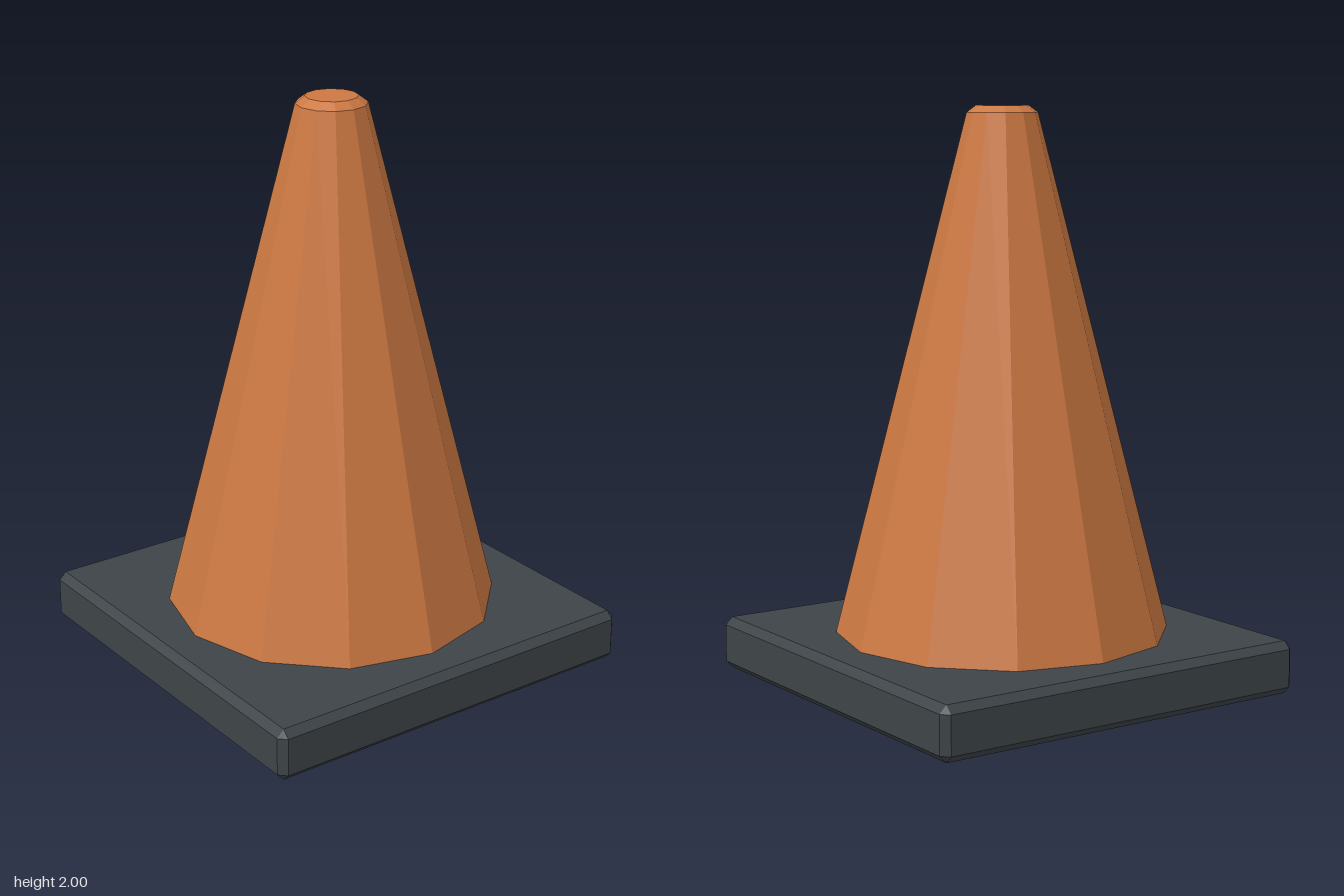
import * as THREE from 'three';
import { ConvexGeometry } from 'three/addons/geometries/ConvexGeometry.js';

const flat = (color) => new THREE.MeshStandardMaterial({ color, flatShading: true });

// Box with every edge and corner cut by a flat chamfer
function chamferedBox(width, height, depth, cut) {
  const points = [];
  for (const sx of [-1, 1]) for (const sy of [-1, 1]) for (const sz of [-1, 1]) {
    for (let axis = 0; axis < 3; axis++) {
      // one corner of each of the three faces meeting here
      const inset = [cut, cut, cut];
      inset[axis] = 0;
      points.push(new THREE.Vector3(
        sx * (width / 2 - inset[0]),
        sy * (height / 2 - inset[1]),
        sz * (depth / 2 - inset[2])));
    }
  }
  return new ConvexGeometry(points);
}

export function createModel() {
  const model = new THREE.Group();
  model.name = 'trafficCone';

  // Square foot plate
  const baseHeight = 0.185;
  const base = new THREE.Mesh(chamferedBox(1.44, baseHeight, 1.44, 0.026), flat(0x3e4448));
  base.name = 'base';
  base.position.y = baseHeight / 2;
  model.add(base);

  // Twelve-sided cone with a chamfered, closed tip
  const profile = [[0.58, baseHeight], [0.122, 1.976], [0.09, 2], [0, 2]]
    .map(([r, y]) => new THREE.Vector2(r, y));
  const cone = new THREE.Mesh(new THREE.LatheGeometry(profile, 12), flat(0xcc7842));
  cone.name = 'cone';
  model.add(cone);

  return model;
}
